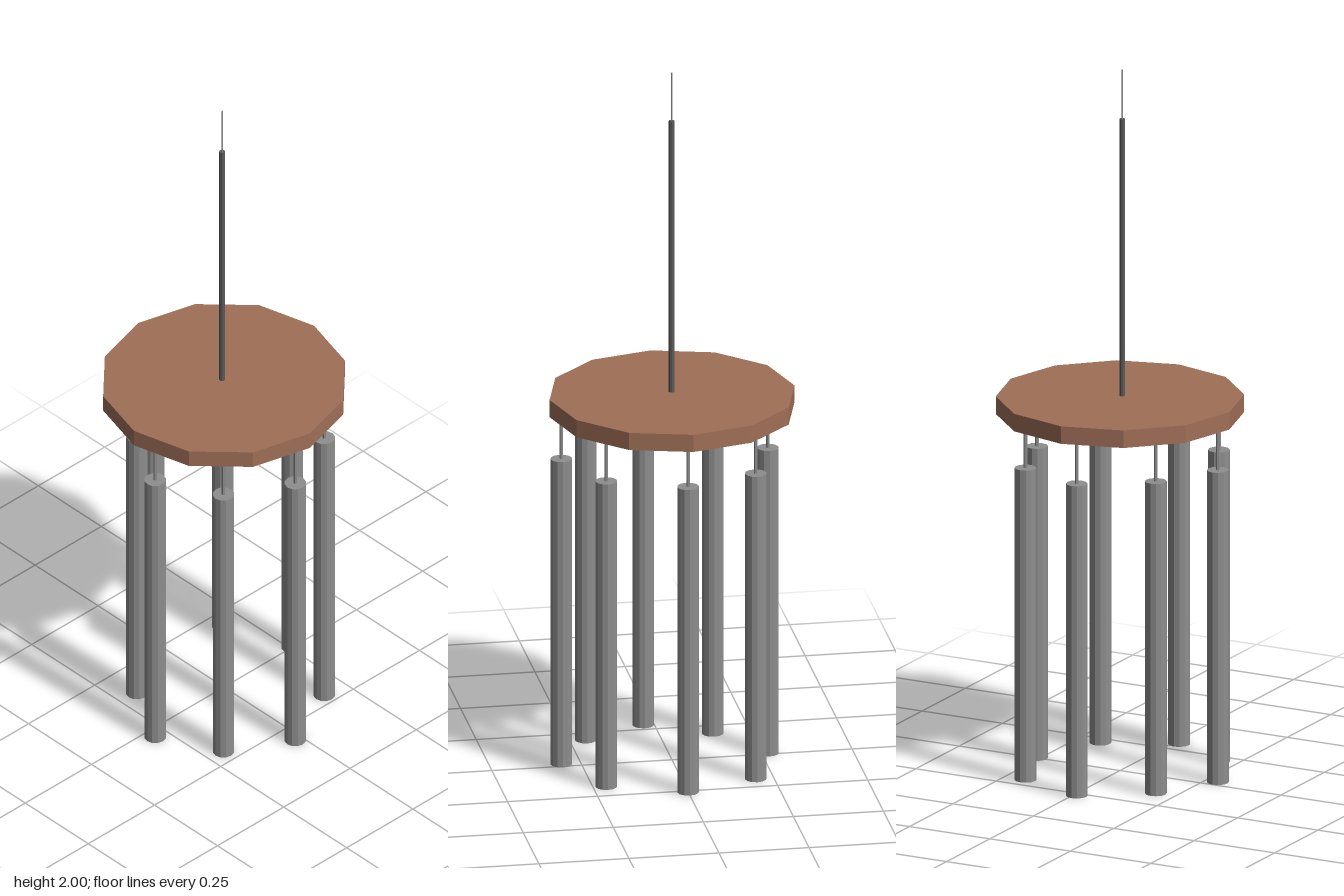
import * as THREE from 'three';

const material = (name, color) => {
  const m = new THREE.MeshStandardMaterial({ color });
  m.name = name;
  return m;
};

export function createModel() {
  const wood = material('wood', 0xa06f57);
  const metal = material('metal', 0x8e8e8e);
  const cord = material('dark cord', 0x5a5a5a);
  const group = new THREE.Group();
  group.name = 'windChime';

  // Upright faceted cylinder between two heights
  function post(name, mat, radius, sides, y0, y1, x = 0, z = 0) {
    const geometry = new THREE.CylinderGeometry(radius, radius, y1 - y0, sides).toNonIndexed();
    geometry.computeVertexNormals();
    const mesh = new THREE.Mesh(geometry, mat);
    mesh.name = name;
    mesh.position.set(x, (y0 + y1) / 2, z);
    group.add(mesh);
  }

  // Wooden top plate
  post('topPlate', wood, 0.34, 12, 1.02, 1.07);

  // Hanging cord with a thin wire above it
  post('hangingCord', cord, 0.008, 8, 1.07, 1.86, -0.007, 0);
  post('hangingWire', metal, 0.002, 6, 1.86, 2, -0.007, 0);

  // Ring of chime tubes, slightly uneven, each on its own string
  const spots = [
    [-0.02, 0.304], [0.176, 0.213], [0.258, 0], [0.186, -0.2],
    [-0.01, -0.268], [-0.19, -0.146], [-0.288, 0.03], [-0.197, 0.205],
  ];
  for (const [x, z] of spots) {
    post('chimeTube', metal, 0.03, 12, 0, 0.89, x, z);
    post('chimeString', metal, 0.005, 6, 0.89, 1.02, x, z);
  }
  return group;
}
